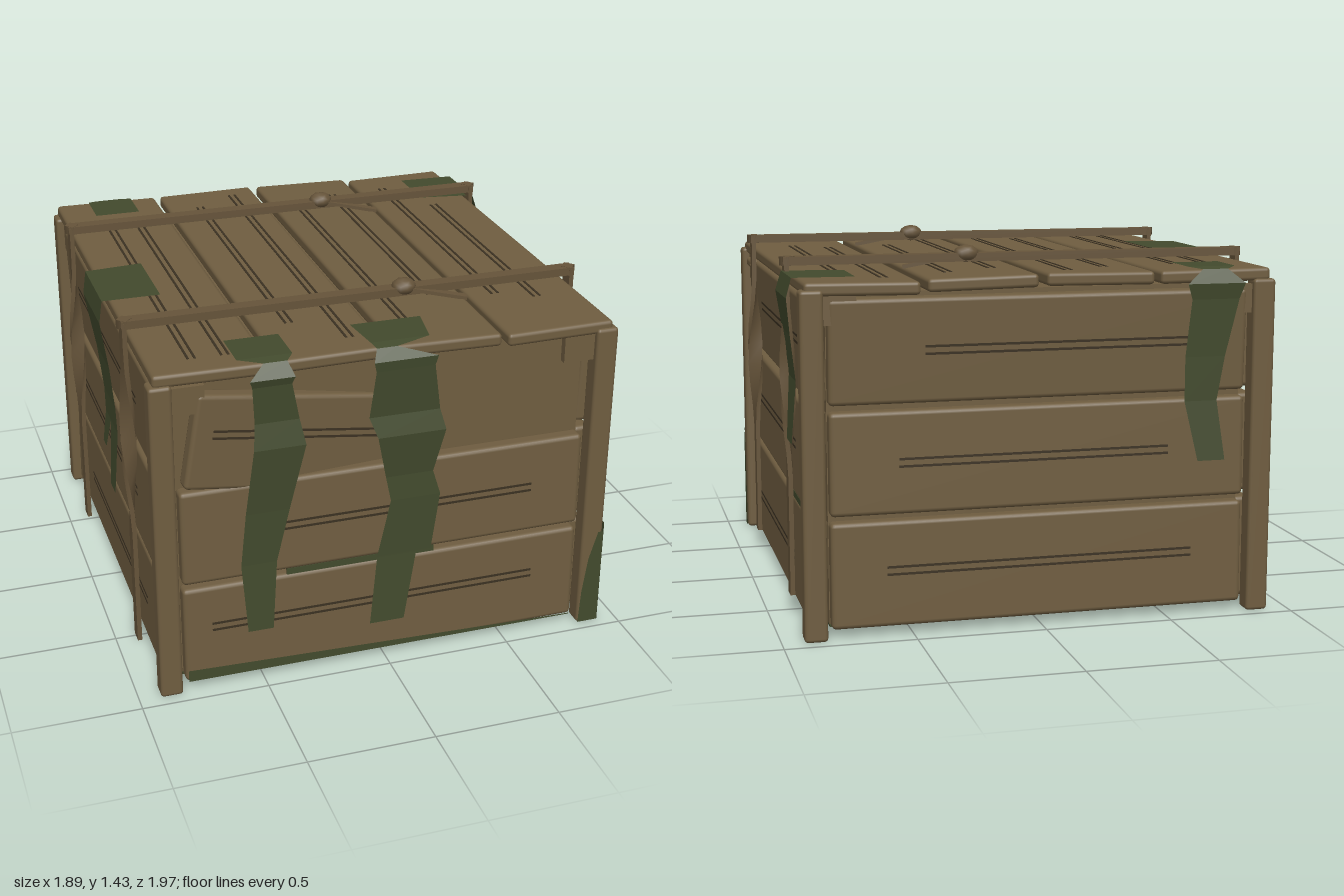
import * as THREE from 'three';
import { RoundedBoxGeometry } from 'three/addons/geometries/RoundedBoxGeometry.js';

export function createModel() {
  const crate = new THREE.Group();
  crate.name = 'crate';
  const mat = (name, color, side = THREE.FrontSide) => {
    const m = new THREE.MeshStandardMaterial({ color, side });
    m.name = name;
    return m;
  };
  const wood = mat('wood', 0x6f5d40);
  const strapMat = mat('strap', 0x66543a);
  const dark = mat('groove', 0x3b3122);
  const moss = mat('moss', 0x424a2d, THREE.DoubleSide);

  const add = (name, geo, material, x = 0, y = 0, z = 0, parent = crate) => {
    const m = new THREE.Mesh(geo, material);
    m.name = name;
    m.position.set(x, y, z);
    parent.add(m);
    return m;
  };
  const round = (w, h, d, r = 0.018) => new RoundedBoxGeometry(w, h, d, 2, r);
  const box = (w, h, d) => new THREE.BoxGeometry(w, h, d);

  // Inner body and mossy underside
  add('innerBody', box(1.62, 1.25, 1.72), wood, 0, 0.665, 0);
  add('underside', box(1.62, 0.008, 1.74), moss, 0, 0.036, 0);

  // One wall plank facing local +z, with its pair of grooves [from, to, y]
  function plank(parent, name, width, y0, y1, out, groove, lean = 0) {
    const g = new THREE.Group();
    g.name = name;
    g.position.set(0, (y0 + y1) / 2, out);
    g.rotation.x = lean;
    add(name + 'Board', round(width, y1 - y0, 0.07), wood, 0, 0, 0, g);
    const [a, b, gy] = groove;
    for (const s of [-0.014, 0.014])
      add(name + 'Groove', box(b - a, 0.009, 0.006), dark, (a + b) / 2, gy - g.position.y + s, 0.034, g);
    parent.add(g);
    return g;
  }

  // Four walls of three planks each
  const rows = [[0.035, 0.44], [0.465, 0.855], [0.88, 1.275]];
  const walls = [
    ['front', 0, 1.62, 0.895, [[-0.7, 0.62, 0.265], [-0.44, 0.6, 0.66], null]],
    ['left', Math.PI / 2, 1.72, 0.845, [[-0.72, 0.46, 0.21], [-0.58, 0.54, 0.67], [-0.45, 0.75, 1.095]]],
    ['back', Math.PI, 1.62, 0.895, [[-0.6, 0.6, 0.25], [-0.55, 0.5, 0.66], [-0.45, 0.6, 1.08]]],
    ['right', -Math.PI / 2, 1.72, 0.845, [[-0.5, 0.6, 0.22], [-0.6, 0.5, 0.66], [-0.6, 0.55, 1.08]]],
  ];
  for (const [name, turn, width, out, grooves] of walls) {
    const wall = new THREE.Group();
    wall.name = name + 'Wall';
    wall.rotation.y = turn;
    rows.forEach(([y0, y1], i) => {
      if (grooves[i]) plank(wall, `${name}Plank${i + 1}`, width, y0, y1, out, grooves[i], i === 2 ? 0.04 : -0.02);
    });
    crate.add(wall);
  }

  // Loose upper front plank, sagging and sinking inward
  const loose = plank(crate, 'loosePlank', 1.6, 0.74, 1.12, 0.84, [-0.72, 0.3, 0.965]);
  loose.position.x = 0.02;
  loose.rotation.set(0, 0.085, -0.17, 'YXZ');

  // Corner posts with small brackets
  for (const sx of [-1, 1]) for (const sz of [-1, 1]) {
    add('cornerPost', round(0.088, 1.31, 0.08, 0.014), wood, sx * 0.872, 0.655, sz * 0.918);
    add('frontBracket', box(0.13, 0.11, 0.03), wood, sx * 0.77, 1.235, sz * 0.918);
    add('sideBracket', box(0.03, 0.12, 0.06), wood, sx * 0.868, 1.235, sz * 0.86);
  }
  add('latch', round(0.04, 0.04, 0.14, 0.015), wood, 0.89, 1.26, 0.7);

  // Lid boards: centre x, width, y, tilt
  const boards = [
    [-0.677, 0.44, 1.325, -0.01],
    [-0.222, 0.42, 1.325, 0.01],
    [0.23, 0.42, 1.32, -0.02],
    [0.682, 0.43, 1.31, 0.012],
  ];
  // Lid grooves: x, z start, z end
  const lidGrooves = [[-0.725, -0.68, 0.83], [-0.6, -0.7, 0.83], [-0.295, -0.74, 0.62], [-0.12, -0.85, 0.82],
    [0.13, -0.66, 0.82], [0.32, -0.74, 0.5], [0.575, -0.78, 0.55], [0.72, -0.5, 0.63]];
  boards.forEach(([x, w, y, tilt], i) => {
    const g = new THREE.Group();
    g.name = 'lidBoard' + (i + 1);
    g.position.set(x, y, 0);
    g.rotation.z = tilt;
    add('board', round(w, 0.05, 1.89, 0.015), wood, 0, 0, 0, g);
    for (const [gx, z0, z1] of lidGrooves) {
      if (Math.abs(gx - x) > w / 2) continue;
      for (const s of [-0.013, 0.013])
        add('lidGroove', box(0.009, 0.006, z1 - z0), dark, gx - x + s, 0.024, (z0 + z1) / 2, g);
    }
    crate.add(g);
  });

  // Hanging strap: a thin bar twisted along its length
  function hangingStrap(y0, turns) {
    const h = 1.39 - y0;
    const geo = box(0.018, h, 0.06).toNonIndexed() && new THREE.BoxGeometry(0.018, h, 0.06, 1, 14, 1);
    const p = geo.attributes.position;
    for (let i = 0; i < p.count; i++) {
      const t = 0.5 - p.getY(i) / h;
      const a = turns * Math.PI * THREE.MathUtils.smoothstep(t, 0.1, 0.65);
      const x = p.getX(i), z = p.getZ(i);
      p.setX(i, x * Math.cos(a) - z * Math.sin(a));
      p.setZ(i, x * Math.sin(a) + z * Math.cos(a));
    }
    geo.computeVertexNormals();
    return geo;
  }

  // Two straps across the lid, each with a knot and a loose tail
  for (const [z, turns] of [[0.51, 1], [-0.55, -1]]) {
    const g = new THREE.Group();
    g.name = 'strap';
    g.position.z = z;
    add('strapTop', box(1.84, 0.032, 0.055), strapMat, 0, 1.382, 0, g);
    add('strapLeftDrop', hangingStrap(0.08, turns), strapMat, 0.908, 0.735, 0, g);
    add('strapRightDrop', hangingStrap(0, -turns), strapMat, -0.908, 0.695, 0, g);
    for (const s of [-1, 1]) {
      const bend = add('strapBend', new THREE.CylinderGeometry(0.03, 0.03, 0.035, 4), strapMat, s * 0.903, 1.382, 0, g);
      bend.scale.z = 1.1;
    }
    const knot = add('knot', new THREE.IcosahedronGeometry(0.046, 1), strapMat, 0.205, 1.395, 0, g);
    knot.scale.set(1.1, 0.75, 0.95);
    const tail = add('tail', box(0.25, 0.014, 0.035), strapMat, 0.325, 1.368, 0.035, g);
    tail.rotation.set(0, -0.2, -0.2);
    crate.add(g);
  }

  // Ribbon through rows of [u0, u1, y, out], placed by a wall's turn
  function ribbon(name, turn, list) {
    const pos = [], idx = [];
    list.forEach(([u0, u1, y, out, y2 = y], i) => {
      pos.push(u0, y, out, u1, y2, out);
      if (i) idx.push(2 * i - 2, 2 * i, 2 * i - 1, 2 * i - 1, 2 * i, 2 * i + 1);
    });
    const geo = new THREE.BufferGeometry();
    geo.setAttribute('position', new THREE.Float32BufferAttribute(pos, 3));
    geo.setIndex(idx);
    const flat = geo.toNonIndexed();
    flat.computeVertexNormals();
    add(name, flat, moss).rotation.y = turn;
  }

  // Draped moss strips: over the lid edge and down each wall
  ribbon('frontMossA', 0, [[-0.58, -0.37, 1.36, 0.73], [-0.58, -0.37, 1.36, 0.91], [-0.49, -0.4, 1.352, 0.95],
    [-0.55, -0.38, 1.3, 0.985], [-0.54, -0.39, 1.27, 0.975], [-0.53, -0.36, 1.12, 0.965], [-0.54, -0.34, 1.02, 0.985],
    [-0.57, -0.4, 0.75, 0.965], [-0.59, -0.45, 0.53, 0.96], [-0.57, -0.47, 0.245, 0.975]]);
  ribbon('frontMossB', 0, [[-0.09, 0.19, 1.36, 0.73], [-0.07, 0.16, 1.36, 0.91], [-0.06, 0.02, 1.352, 0.95],
    [-0.08, 0.17, 1.31, 0.985], [-0.07, 0.16, 1.27, 0.98], [-0.09, 0.19, 1.08, 0.965], [-0.06, 0.21, 1.0, 0.985],
    [-0.02, 0.17, 0.82, 0.965], [0.0, 0.2, 0.72, 0.97], [-0.05, 0.17, 0.48, 0.965], [-0.05, 0.11, 0.475, 0.965],
    [-0.08, 0.06, 0.19, 0.98]]);
  ribbon('leftMoss', Math.PI / 2, [[0.58, 0.83, 1.345, 0.69], [0.54, 0.82, 1.345, 0.925], [0.52, 0.82, 1.27, 0.945],
    [0.51, 0.72, 1.12, 0.92], [0.56, 0.75, 0.95, 0.905], [0.66, 0.79, 0.72, 0.93]]);
  ribbon('backMoss', Math.PI, [[0.57, 0.76, 1.36, 0.74], [0.57, 0.76, 1.36, 0.92], [0.62, 0.72, 1.352, 0.95],
    [0.55, 0.78, 1.3, 0.985], [0.57, 0.76, 1.24, 0.975], [0.55, 0.71, 1.02, 0.965], [0.55, 0.68, 0.85, 0.965],
    [0.6, 0.71, 0.62, 0.985]]);
  ribbon('rightMoss', -Math.PI / 2, [[-0.12, 0.23, 1.362, 0.7], [-0.11, 0.22, 1.358, 0.93], [-0.1, 0.23, 1.27, 0.945],
    [0.0, 0.25, 1.08, 0.92], [0.06, 0.28, 0.92, 0.91], [0.07, 0.3, 0.82, 0.91]]);
  ribbon('rightMossForkA', -Math.PI / 2, [[0.07, 0.17, 0.82, 0.91], [0.06, 0.12, 0.68, 0.925]]);
  ribbon('rightMossForkB', -Math.PI / 2, [[0.17, 0.3, 0.82, 0.91], [0.2, 0.29, 0.55, 0.93]]);

  // Moss stains: plank feet, seams and the front left post
  ribbon('footStain', 0, [[-0.8, 0.8, 0.085, 0.934, 0.04], [-0.8, 0.8, 0.036, 0.934]]);
  add('frontSeamMoss', box(0.6, 0.026, 0.01), moss, -0.1, 0.452, 0.918);
  add('leftSeamMoss', box(0.01, 0.026, 0.5), moss, 0.872, 0.452, -0.58);
  ribbon('postStainFront', 0, [[0.895, 0.917, 0.42, 0.96], [0.86, 0.917, 0.3, 0.96], [0.84, 0.917, 0.15, 0.96],
    [0.832, 0.917, 0.005, 0.96]]);
  ribbon('postStainSide', Math.PI / 2, [[-0.96, -0.945, 0.46, 0.918], [-0.96, -0.925, 0.38, 0.918],
    [-0.96, -0.91, 0.2, 0.918], [-0.96, -0.9, 0.005, 0.918]]);

  return crate;
}
